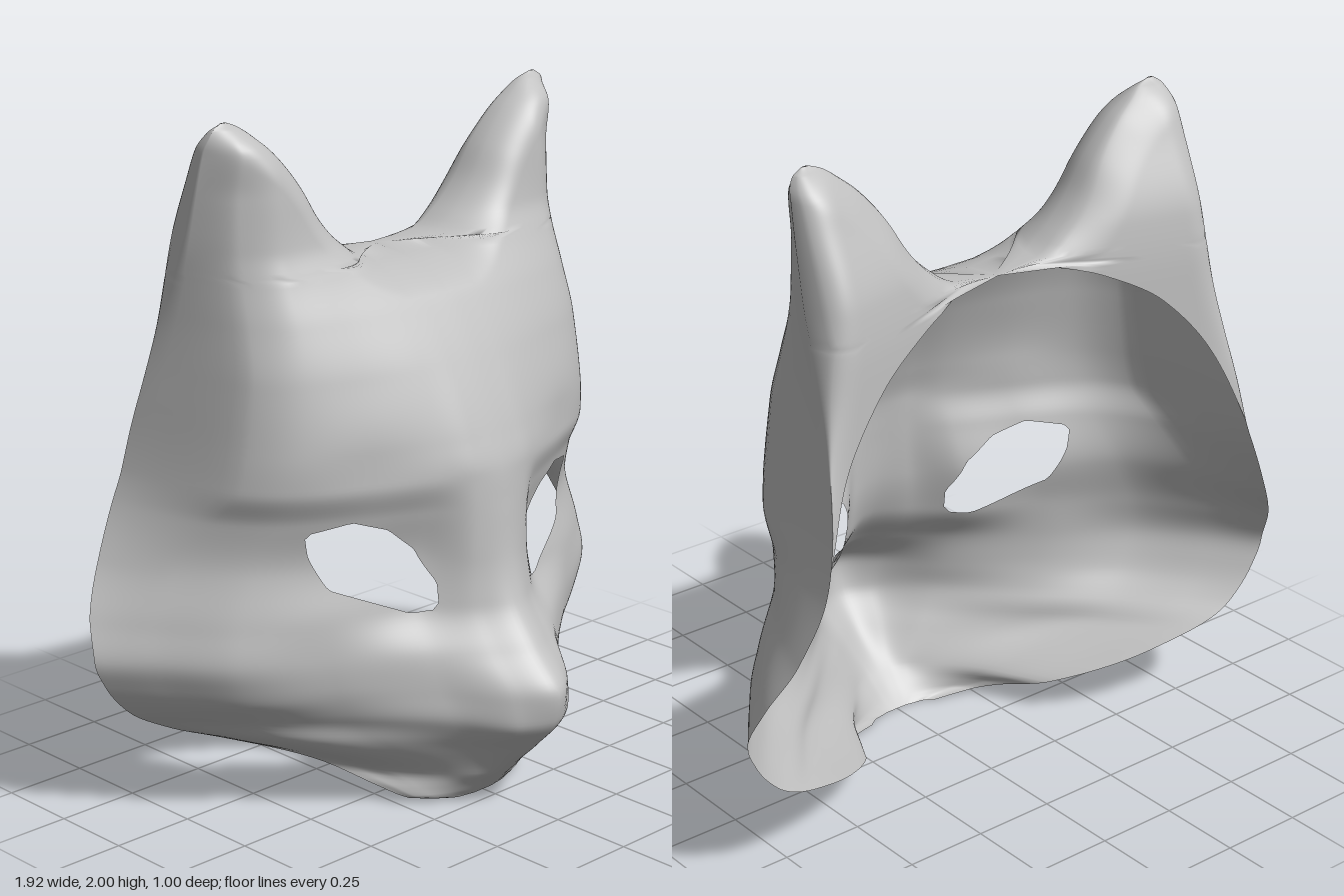
import * as THREE from 'three';
import { mergeVertices } from 'three/addons/utils/BufferGeometryUtils.js';

// Monotone cubic through the points (xs, ys); flatStart makes the first tangent level
function curve(xs, ys, flatStart = false) {
  const n = xs.length, d = [], m = [];
  for (let i = 0; i < n - 1; i++) d.push((ys[i + 1] - ys[i]) / (xs[i + 1] - xs[i]));
  for (let i = 0; i < n; i++) {
    if (i === 0) m.push(flatStart ? 0 : d[0]);
    else if (i === n - 1) m.push(d[n - 2]);
    else m.push(d[i - 1] * d[i] <= 0 ? 0 : 2 * d[i - 1] * d[i] / (d[i - 1] + d[i]));
  }
  return (x) => {
    let i = 0;
    while (i < n - 2 && x > xs[i + 1]) i++;
    const h = xs[i + 1] - xs[i];
    const t = Math.min(1, Math.max(0, (x - xs[i]) / h)), t2 = t * t, t3 = t2 * t;
    return (2 * t3 - 3 * t2 + 1) * ys[i] + (t3 - 2 * t2 + t) * h * m[i]
      + (3 * t2 - 2 * t3) * ys[i + 1] + (t3 - t2) * h * m[i + 1];
  };
}
const curveOf = (pairs) => curve(pairs.map((p) => p[0]), pairs.map((p) => p[1]));

const VALLEY = 1.57;  // height of the saddle between the ears
const BACK_START = 1; // height where the back of the ears begins
const ROUND = 0.1;    // radius of the rounded crown and ear edges

// Depth sections: height, then z at these fractions of the half width
const FRACTIONS = [0, 0.12, 0.26, 0.5, 0.74, 0.9, 1];
const faceSections = [
  [0, 0.2, 0.2, 0.2, 0.195, 0.19, 0.18, 0.17],
  [0.05, 0.25, 0.247, 0.235, 0.2, 0.15, 0.1, 0.05],
  [0.1, 0.3, 0.295, 0.27, 0.19, 0.08, -0.03, -0.1],
  [0.2, 0.405, 0.37, 0.285, 0.15, 0, -0.15, -0.28],
  [0.3, 0.485, 0.44, 0.3, 0.09, -0.1, -0.26, -0.36],
  [0.38, 0.5, 0.43, 0.275, 0.09, -0.075, -0.25, -0.37],
  [0.5, 0.41, 0.345, 0.235, 0.08, -0.065, -0.25, -0.38],
  [0.62, 0.33, 0.275, 0.165, 0.07, -0.075, -0.27, -0.43],
  [0.75, 0.295, 0.262, 0.15, 0.055, -0.07, -0.26, -0.48],
  [0.9, 0.28, 0.262, 0.19, 0.1, -0.01, -0.18, -0.5],
  [1, 0.27, 0.26, 0.22, 0.14, 0.05, -0.09, -0.49],
  [1.1, 0.24, 0.235, 0.205, 0.14, 0.06, -0.075, -0.475],
  [1.3, 0.155, 0.152, 0.14, 0.1, 0.04, -0.07, -0.42],
  [1.45, 0.07, 0.068, 0.062, 0.04, 0, -0.1, -0.365],
];
const earSections = [
  [VALLEY, -0.02, -0.02, -0.02, -0.025, -0.045, -0.13, -0.32],
  [1.65, -0.06, -0.06, -0.06, -0.06, -0.07, -0.14, -0.29],
  [1.8, -0.08, -0.08, -0.08, -0.08, -0.08, -0.14, -0.25],
  [1.92, -0.09, -0.09, -0.09, -0.09, -0.09, -0.125, -0.22],
  [1.98, -0.13, -0.13, -0.13, -0.13, -0.13, -0.15, -0.2],
  [2, -0.18, -0.18, -0.18, -0.18, -0.18, -0.18, -0.2],
];
const sections = [...faceSections, ...earSections];
const heights = sections.map((s) => s[0]);
const columns = FRACTIONS.map((_, k) => curve(heights, sections.map((s) => s[k + 1])));

// Outer half width and inner edge of each ear, by height
const outer = curveOf([[0, 0.12], [0.02, 0.23], [0.05, 0.28], [0.1, 0.35], [0.2, 0.6], [0.25, 0.73],
  [0.32, 0.85], [0.42, 0.93], [0.5, 0.96], [0.6, 0.94], [0.75, 0.86], [0.92, 0.78], [1.0, 0.755],
  [1.2, 0.722], [1.45, 0.69], [1.7, 0.675], [1.93, 0.66], [1.98, 0.64], [2, 0.61]]);
const valley = curveOf([[VALLEY, 0], [1.575, 0.12], [1.63, 0.22], [1.71, 0.3], [1.82, 0.37],
  [1.91, 0.45], [1.95, 0.5], [1.985, 0.55], [2, 0.59]]);
const inner = (y) => (y <= VALLEY ? 0 : valley(y));
const valleyLine = Array.from({ length: 81 }, (_, i) => {
  const y = VALLEY + (2 - VALLEY) * (i / 80) ** 2;
  return [valley(y), y];
});

// Arched edge of the opening at the back, and the taper of the ear backs
const archX = curveOf([[1, 0.755], [1.22, 0.66], [1.41, 0.5], [1.5, 0.35], [1.56, 0.17], [VALLEY, 0]]);
const taper = curveOf([[1, -0.03], [1.25, -0.005], [1.5, 0], [1.65, 0.015], [1.85, 0.09], [1.97, 0.15], [2, 0.2]]);

// Nearest point to (x, y) on a line of points
function nearestOnLine(line, x, y) {
  let best = line[0], bestD = Infinity;
  for (let i = 0; i < line.length - 1; i++) {
    const [ax, ay] = line[i], dx = line[i + 1][0] - ax, dy = line[i + 1][1] - ay;
    const t = Math.min(1, Math.max(0, ((x - ax) * dx + (y - ay) * dy) / (dx * dx + dy * dy)));
    const p = [ax + dx * t, ay + dy * t], d = Math.hypot(p[0] - x, p[1] - y);
    if (d < bestD) { bestD = d; best = p; }
  }
  return best;
}

// Quarter-circle rise from 0 at an edge to 1 at distance ROUND
function quarter(distance) {
  const k = 1 - Math.min(1, Math.max(0, distance / ROUND));
  return Math.sqrt(1 - k * k);
}

// Bends a depth towards the crest of the crown and the inner ear edges
function roundCrest(x, y, z, atEdge) {
  if (y < VALLEY - ROUND) return z;
  const crest = -0.26 + 0.1 * x;
  if (atEdge) return crest;
  const [nx, ny] = nearestOnLine(valleyLine, x, y);
  return crest + (z - crest) * quarter(Math.hypot(nx - x, ny - y));
}

function frontPoint(f, y) {
  const a = inner(y), w = outer(y), x = a + (w - a) * f;
  const z = curve(FRACTIONS, columns.map((c) => c(y)), true)(x / w);
  return [x, y, roundCrest(x, y, z, f === 0 && y >= VALLEY)];
}

function backPoint(s, y) {
  const w = outer(y), rimZ = frontPoint(1, y)[2];
  const end = y <= VALLEY ? Math.min(w, archX(y)) : inner(y);
  const x = w + (end - w) * s;
  const z = roundCrest(x, y, -0.26 - 0.26 * x + taper(y), s === 1 && y >= VALLEY);
  return [x, y, s === 1 && y >= VALLEY ? z : rimZ + (z - rimZ) * quarter(w - x)];
}

// Eye opening
const EYE = [[0.527, 0.87], [0.51, 0.8], [0.465, 0.7], [0.33, 0.64], [0.255, 0.607], [0.19, 0.615],
  [0.185, 0.69], [0.23, 0.79], [0.31, 0.86], [0.41, 0.895], [0.527, 0.87]];

function insideEye(x, y) {
  let inside = false;
  for (let i = 0; i < EYE.length - 1; i++) {
    const [ax, ay] = EYE[i], [bx, by] = EYE[i + 1];
    if ((ay > y) !== (by > y) && x < ax + (bx - ax) * (y - ay) / (by - ay)) inside = !inside;
  }
  return inside;
}

// Row heights: every section height, subdivided
function rowHeights() {
  const rows = [];
  for (let i = 0; i < heights.length - 1; i++) {
    const n = Math.max(5, Math.ceil((heights[i + 1] - heights[i]) / 0.014));
    for (let j = 0; j < n; j++) rows.push(heights[i] + (heights[i + 1] - heights[i]) * j / n);
  }
  return [...rows, 2];
}

// Adds a sheet of rows and its mirror image, skipping cells inside an opening
function addSheet(positions, indices, rows, count, pointAt, cut) {
  for (const side of [1, -1]) {
    const base = positions.length / 3, hole = [];
    for (const y of rows) {
      for (let i = 0; i <= count; i++) {
        let p = pointAt(i / count, y);
        const inHole = cut && insideEye(p[0], p[1]);
        if (inHole) {
          const [ex, ey] = nearestOnLine(EYE, p[0], p[1]);
          p = pointAt(ex / outer(ey), ey);
        }
        hole.push(inHole);
        positions.push(p[0] * side, p[1], p[2]);
      }
    }
    for (let r = 0; r < rows.length - 1; r++) {
      for (let i = 0; i < count; i++) {
        const a = r * (count + 1) + i, b = a + 1, d = a + count + 1, c = d + 1;
        if (hole[a] && hole[b] && hole[c] && hole[d]) continue;
        const quad = side > 0 ? [a, b, c, a, c, d] : [a, c, b, a, d, c];
        indices.push(...quad.map((k) => k + base));
      }
    }
  }
}

export function createModel() {
  const group = new THREE.Group();
  group.name = 'foxMask';
  const grey = new THREE.MeshStandardMaterial({ color: 0xc0c0c0, side: THREE.DoubleSide });
  grey.name = 'plain grey';

  // Face, cheeks, muzzle and ears as one smooth shell, open at the back
  const positions = [], indices = [], rows = rowHeights();
  addSheet(positions, indices, rows, 64, frontPoint, true);
  addSheet(positions, indices, rows.filter((y) => y >= BACK_START), 36, backPoint, false);
  let geometry = new THREE.BufferGeometry();
  geometry.setAttribute('position', new THREE.Float32BufferAttribute(positions, 3));
  geometry.setIndex(indices);
  geometry = mergeVertices(geometry, 1e-4);
  geometry.computeVertexNormals();

  const shell = new THREE.Mesh(geometry, grey);
  shell.name = 'maskShell';
  group.add(shell);
  return group;
}
